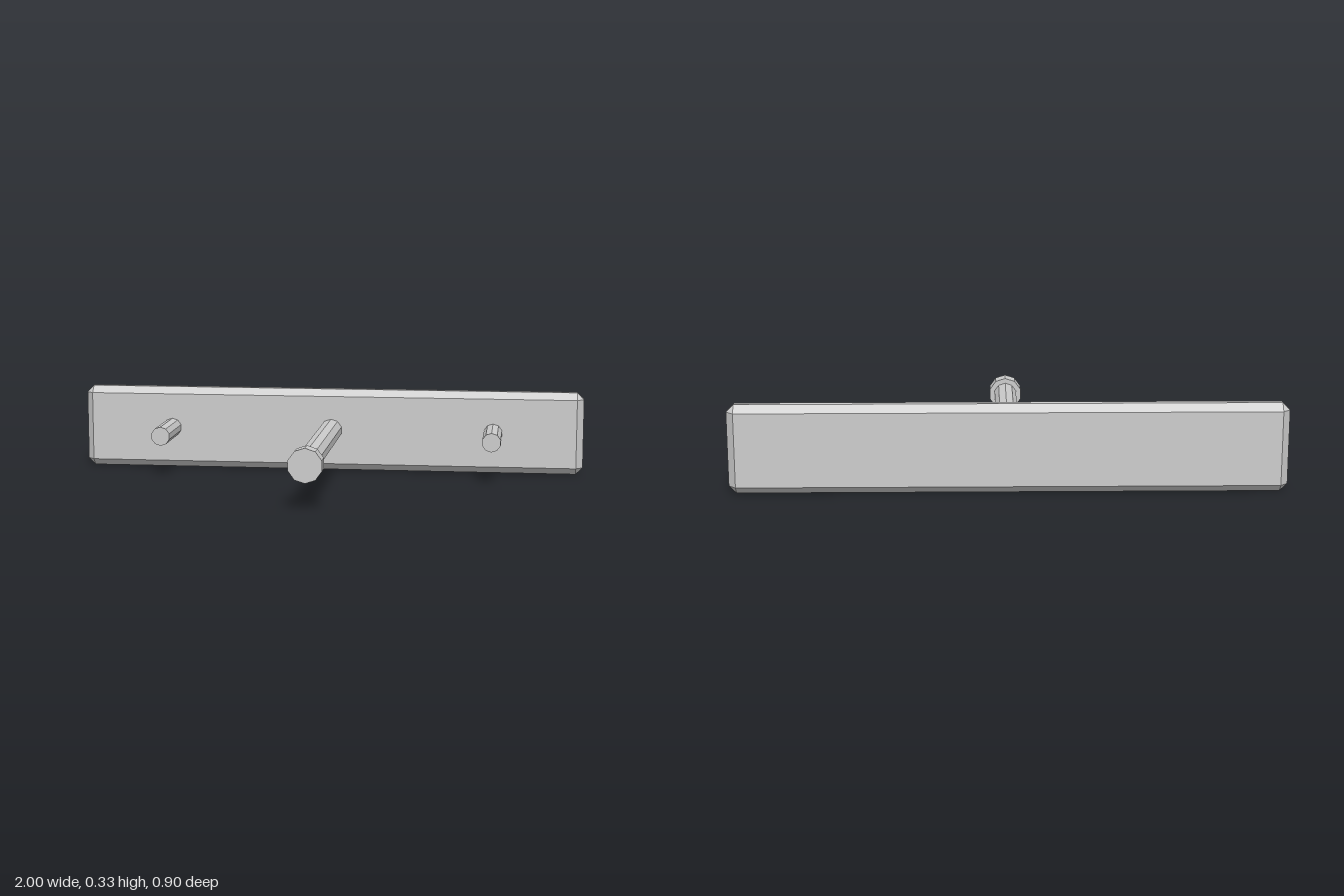
import * as THREE from 'three';
import { ConvexGeometry } from 'three/addons/geometries/ConvexGeometry.js';

const AXIS_Y = 0.163; // height of the plate centre and all rods

// Box with every edge chamfered, spanned by the half sizes and bevel width
function chamferedBox(hx, hy, hz, b) {
  const points = [];
  for (const x of [-1, 1]) for (const y of [-1, 1]) for (const z of [-1, 1]) {
    points.push(
      new THREE.Vector3(x * hx, y * (hy - b), z * (hz - b)),
      new THREE.Vector3(x * (hx - b), y * hy, z * (hz - b)),
      new THREE.Vector3(x * (hx - b), y * (hy - b), z * hz)
    );
  }
  return new ConvexGeometry(points);
}

export function createModel() {
  const group = new THREE.Group();
  const greyMetal = new THREE.MeshStandardMaterial({ color: 0xcccccc, flatShading: true });
  greyMetal.name = 'grey metal';

  function add(name, geometry, x, y, z) {
    const mesh = new THREE.Mesh(geometry, greyMetal);
    mesh.name = name;
    mesh.position.set(x, y, z);
    group.add(mesh);
  }

  // Ten-sided bar running along z
  function addBar(name, radius, x, zBack, zFront) {
    const geometry = new THREE.CylinderGeometry(radius, radius, zFront - zBack, 10);
    geometry.rotateX(Math.PI / 2);
    add(name, geometry, x, AXIS_Y, (zBack + zFront) / 2);
  }

  // Back plate
  add('backPlate', chamferedBox(1, AXIS_Y, 0.04, 0.027), 0, AXIS_Y, -0.408);

  // Central rod with its wider end cap
  addBar('centralRod', 0.0445, 0, -0.37, 0.386);
  addBar('rodCap', 0.064, 0, 0.385, 0.448);

  // Short pegs on both sides
  addBar('leftPeg', 0.037, 0.645, -0.37, -0.132);
  addBar('rightPeg', 0.037, -0.645, -0.37, -0.132);

  return group;
}
